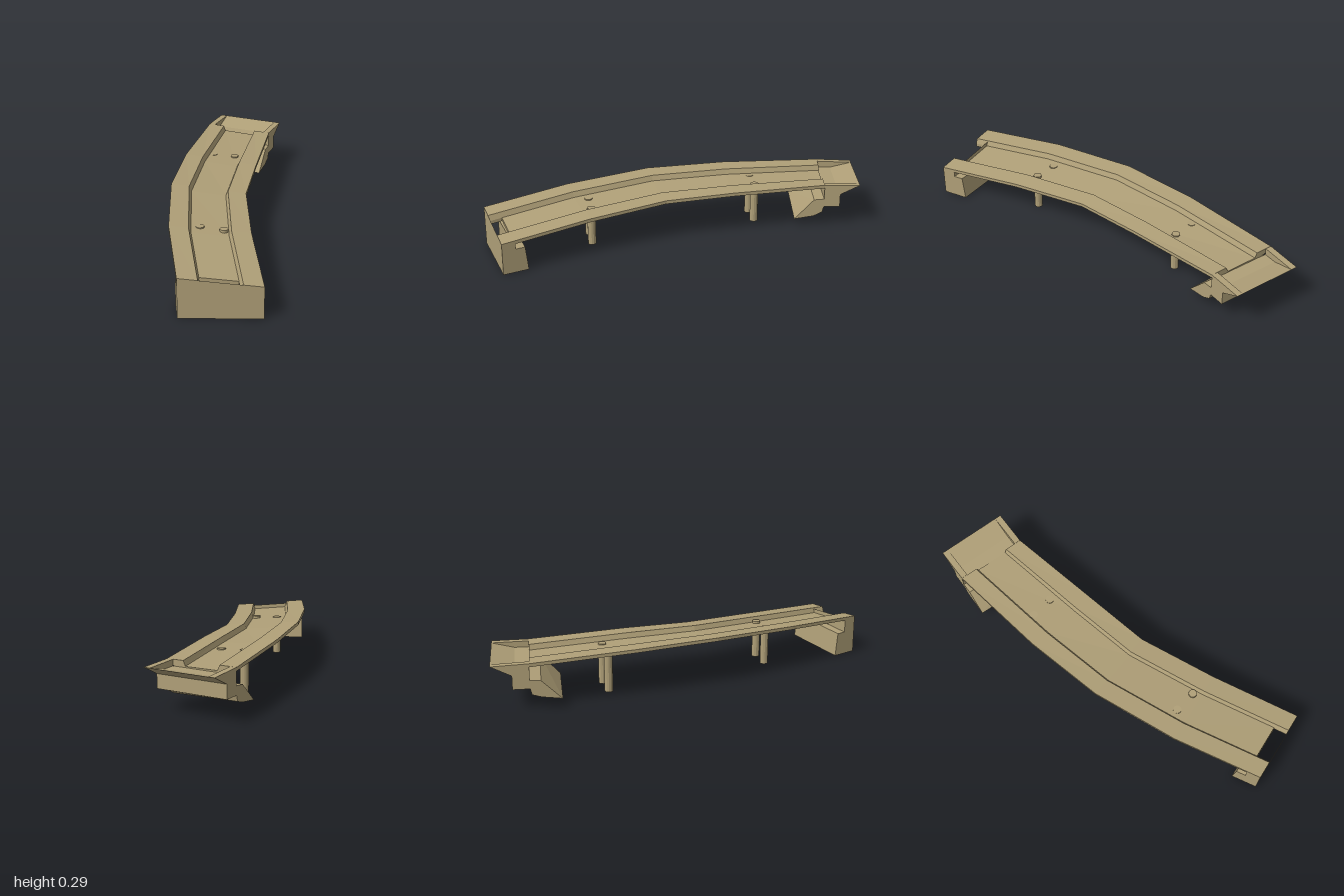
import * as THREE from 'three';

const material = new THREE.MeshStandardMaterial({ color: 0xb0a078, flatShading: true });

// Deck stations: outer (right) edge and inner (left) edge, as x, y, z of the parapet top
const stations = [
  [[-0.88, 0.23, 0.72], [-0.53, 0.185, 0.99]],
  [[-0.62, 0.268, 0.26], [-0.26, 0.225, 0.53]],
  [[-0.32, 0.29, -0.16], [0, 0.25, 0.14]],
  [[0.02, 0.285, -0.5], [0.29, 0.26, -0.14]],
  [[0.48, 0.266, -0.89], [0.7, 0.26, -0.53]],
].map(pair => pair.map(p => new THREE.Vector3(...p)));

// Joins matching rings of points into a closed solid; skipEdge leaves one side open
function loft(name, rings, polygon, skipEdge = -1) {
  const out = [];
  const tri = (...pts) => pts.forEach(p => out.push(p.x, p.y, p.z));
  const n = polygon.length;
  for (let r = 0; r < rings.length - 1; r++) {
    const a = rings[r], b = rings[r + 1];
    for (let i = 0; i < n; i++) {
      if (i === skipEdge) continue;
      const j = (i + 1) % n;
      tri(a[i], b[i], b[j]);
      tri(a[i], b[j], a[j]);
    }
  }
  const outline = polygon.map(([x, y]) => new THREE.Vector2(x, y));
  const first = rings[0], last = rings[rings.length - 1];
  for (const [a, b, c] of THREE.ShapeUtils.triangulateShape(outline, [])) {
    tri(first[a], first[b], first[c]);
    tri(last[a], last[c], last[b]);
  }
  const geometry = new THREE.BufferGeometry();
  geometry.setAttribute('position', new THREE.Float32BufferAttribute(out, 3));
  geometry.computeVertexNormals();
  const mesh = new THREE.Mesh(geometry, material);
  mesh.name = name;
  return mesh;
}

// Sweeps a section (fraction across, height offset) along the deck stations
function sweep(name, section, startGap = 0) {
  const rings = stations.map((pair, s) => {
    let [l, r] = pair;
    if (s === 0 && startGap) [l, r] = pair.map((p, i) => p.clone().lerp(stations[1][i], startGap));
    return section.map(([f, dy]) => {
      const p = l.clone().lerp(r, f);
      p.y += dy;
      return p;
    });
  });
  return loft(name, rings, section);
}

// Extrudes an (along, height) profile across the width, between fractions f0 and f1
function across(name, end, profile, f0 = 0, f1 = 1, skipEdge = -1) {
  const ring = f => profile.map(([u, y, lift = 0]) => new THREE.Vector3(
    THREE.MathUtils.lerp(end.l[0], end.r[0], f) + end.dir[0] * u,
    y + lift * (1 - f),
    THREE.MathUtils.lerp(end.l[1], end.r[1], f) + end.dir[1] * u));
  return loft(name, [ring(f1), ring(f0)], profile, skipEdge);
}

export function createModel() {
  const model = new THREE.Group();
  model.name = 'curvedBridge';

  // Deck: sunken roadway between two parapets with undercut outer sides
  model.add(
    sweep('outerParapet', [[0, 0], [0, -0.02], [0.22, -0.05], [0.27, -0.05], [0.27, -0.03], [0.24, 0]]),
    sweep('innerParapet', [[1, 0], [0.76, 0], [0.73, -0.03], [0.73, -0.05], [0.78, -0.05], [1, -0.02]]),
    sweep('roadway', [[0.27, -0.03], [0.27, -0.05], [0.73, -0.05], [0.73, -0.03]], 0.15));

  // Near abutment: open-topped end block and bearing seat
  const near = { l: [-0.88, 0.72], r: [-0.53, 0.99], dir: [0.506, -0.863] };
  model.add(
    across('nearEndBlock', near, [[0, 0], [0.08, 0], [0.08, 0.185, 0.045], [0, 0.185, 0.045]], 0, 1, 2),
    across('nearBearingSeat', near, [[0.08, 0], [0.15, 0], [0.135, 0.14], [0.08, 0.14]]));

  // Far abutment: stepped foot, back wall and overhanging lip
  const far = { l: [0.66, -1], r: [0.88, -0.64], dir: [0.855, -0.52] };
  model.add(across('farAbutment', far, [
    [-0.385, 0.04, 0.015], [-0.27, 0.06, 0.01], [-0.22, 0.085], [-0.21, 0.12], [-0.115, 0.12],
    [-0.115, 0.2], [0, 0.258], [-0.13, 0.225], [-0.21, 0.225], [-0.21, 0.17], [-0.27, 0.165],
  ]));
  const wing = [[-0.21, 0.2], [-0.115, 0.2], [0, 0.258], [-0.21, 0.26, 0.006]];
  model.add(
    across('outerWingWall', far, wing, 0, 0.09),
    across('innerWingWall', far, wing, 0.91, 1));

  // Two pairs of round piers, reaching just through the roadway
  for (const [x, z, h] of [[-0.44, 0.3, 0.23], [-0.35, 0.4, 0.226], [0.215, -0.48, 0.245], [0.305, -0.38, 0.243]]) {
    const pier = new THREE.Mesh(new THREE.CylinderGeometry(0.024, 0.024, h, 12), material);
    pier.position.set(x, h / 2, z);
    pier.name = 'pier';
    model.add(pier);
  }
  return model;
}
